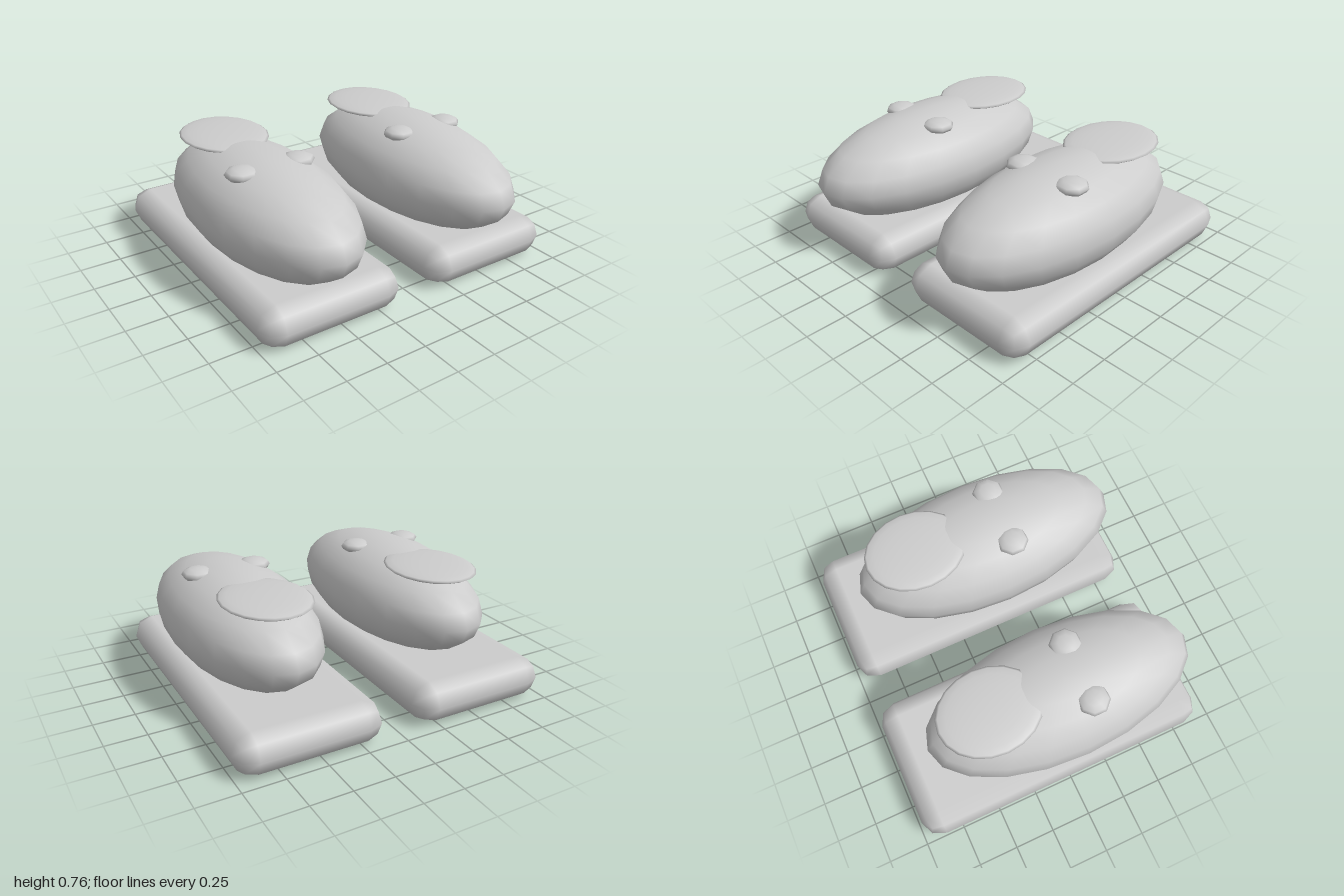
import * as THREE from 'three';
import { RoundedBoxGeometry } from 'three/addons/geometries/RoundedBoxGeometry.js';

export function createModel() {
  const model = new THREE.Group();
  model.name = 'slipperPair';
  const grey = new THREE.MeshStandardMaterial({ color: 0xcccccc });
  grey.name = 'light grey';

  // Squashed sphere with the given radii and centre
  function ellipsoid(name, radii, centre, widthSegments, heightSegments) {
    const geometry = new THREE.SphereGeometry(1, widthSegments, heightSegments);
    geometry.scale(...radii);
    const mesh = new THREE.Mesh(geometry, grey);
    mesh.name = name;
    mesh.position.set(...centre);
    return mesh;
  }

  function createSlipper(name) {
    const slipper = new THREE.Group();
    slipper.name = name;

    // Thick sole with chamfered, softly shaded edges
    const sole = new THREE.Mesh(new RoundedBoxGeometry(0.894, 0.245, 1.895, 1, 0.12), grey);
    sole.name = 'sole';
    sole.position.set(0, 0.1225, -0.03);
    slipper.add(sole);

    // Pointed-oval upper, sunk into the sole
    slipper.add(ellipsoid('upper', [0.416, 0.315, 0.868], [0, 0.45, 0.1], 20, 10));

    // Flat disc over the heel
    slipper.add(ellipsoid('heelDisc', [0.262, 0.03, 0.32], [0, 0.73, -0.36], 20, 10));

    // Pair of small knobs
    for (const side of [-1, 1]) {
      const knob = ellipsoid(side < 0 ? 'rightKnob' : 'leftKnob',
        [0.1, 0.042, 0.1], [side * 0.182, 0.72, 0.21], 8, 6);
      knob.rotation.y = side * Math.PI / 8;
      slipper.add(knob);
    }
    return slipper;
  }

  for (const side of [-1, 1]) {
    const slipper = createSlipper(side < 0 ? 'rightSlipper' : 'leftSlipper');
    slipper.position.x = side * 0.553;
    model.add(slipper);
  }
  return model;
}
